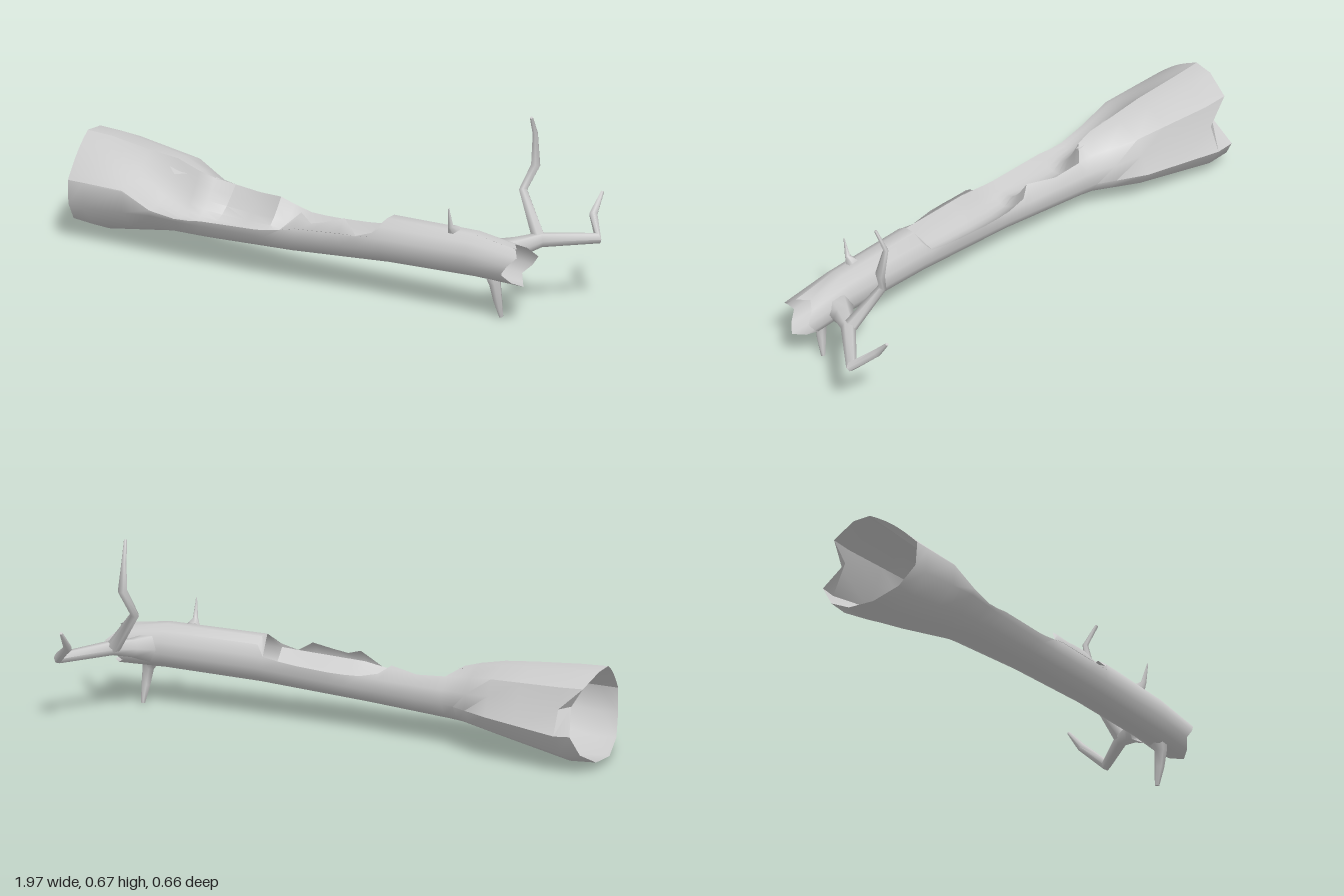
import * as THREE from 'three';
import { toCreasedNormals, mergeVertices } from 'three/addons/utils/BufferGeometryUtils.js';

const { lerp, clamp, smoothstep } = THREE.MathUtils;
const material = new THREE.MeshStandardMaterial({ color: 0xcccccc, side: THREE.DoubleSide });
const DEG = Math.PI / 180;

// Trunk profile: x, centre y, centre z, radius y, radius z
const TRUNK = [
  [-0.975, 0.193, 0.125, 0.169, 0.207], [-0.87, 0.188, 0.125, 0.170, 0.207],
  [-0.58, 0.200, 0.146, 0.130, 0.180], [-0.41, 0.188, 0.184, 0.102, 0.128],
  [-0.04, 0.191, 0.187, 0.084, 0.099], [0.36, 0.218, 0.164, 0.084, 0.083],
  [0.72, 0.226, 0.145, 0.081, 0.077], [0.89, 0.213, 0.137, 0.070, 0.075],
];

// Rims of the opening: x, front and back angle (0 front, 90 bottom, 180 back, 270 top)
const RIMS = [
  [-0.975, -12, 278], [-0.87, -14, 277], [-0.70, -14, 276], [-0.58, 8, 272], [-0.48, 13, 268],
  [-0.42, 10, 258], [-0.37, 6, 226], [-0.26, 4, 222], [-0.15, 2, 236], [-0.11, 0, 212],
  [-0.04, -8, 200], [0.02, -58, 196], [0.08, -32, 194], [0.13, -38, 194], [0.20, -56, 194],
  [0.27, -14, 196], [0.33, -25, 200], [0.36, -72, 288], [0.72, -72, 288], [0.89, -72, 288],
];

// Point of the trunk's surface at x and an angle in degrees
function onTrunk(x, deg) {
  const i = Math.max(1, TRUNK.findIndex(k => k[0] >= x));
  const a = TRUNK[i - 1], b = TRUNK[i];
  const [cy, cz, ry, rz] = [1, 2, 3, 4].map(c => lerp(a[c], b[c], (x - a[0]) / (b[0] - a[0])));
  const s = Math.sin(deg * DEG), c = Math.cos(deg * DEG);
  // The wide part is flattened at the back, its end is hollowed at both sides and split at the back
  const flat = Math.max(0, 1 - Math.abs(deg - 198) / 30) * smoothstep(-x, 0.45, 0.65);
  const end = x < -0.95 ? 1 : 0;
  return [x + end * (0.045 * c * c + 0.03 * flat), cy - ry * s, cz + rz * c + flat * (0.035 + 0.035 * end)];
}

// Surface through rows of points, all of the same length
function loft(rows, name, crease = 0.7) {
  const n = rows[0].length, index = [];
  for (let i = 0; i < rows.length - 1; i++)
    for (let j = 0; j < n - 1; j++) {
      const a = i * n + j, b = a + n;
      index.push(a, b, a + 1, b, b + 1, a + 1);
    }
  const g = new THREE.BufferGeometry();
  g.setAttribute('position', new THREE.Float32BufferAttribute(rows.flat(2), 3));
  g.setIndex(index);
  const mesh = new THREE.Mesh(toCreasedNormals(mergeVertices(g, 1e-5), crease), material);
  mesh.name = name;
  return mesh;
}

const steps = n => Array.from({ length: n + 1 }, (_, j) => j / n);

function trunkShell() {
  return loft(RIMS.map(([x, front, back], i) => steps(12).map(f => {
    const p = onTrunk(x, clamp(lerp(-72, 288, f), front, back));
    // Narrow end: torn teeth
    if (i === RIMS.length - 1) p[0] += 0.01 + 0.03 * Math.sin(f * 19);
    return p;
  })), 'trunkShell');
}

// Sloping face at the wide end that sinks into a trough along the middle
function trough() {
  return loft(RIMS.filter(r => r[0] < 0.35).map(([x, front, back]) => {
    const a = onTrunk(x, Math.max(front, -15)), b = onTrunk(x, back);
    const sag = 0.08 * smoothstep(x, -0.92, -0.38) - 0.015;
    return steps(8).map(f => [lerp(a[0], b[0], f),
      lerp(a[1], b[1], f) - sag * Math.sin(Math.PI * f), lerp(a[2], b[2], f)]);
  }), 'rottenTrough');
}

// Ragged lip of bark over the sloping face
function barkLip() {
  return loft(steps(6).map((f, i) => {
    const x = lerp(-0.74, -0.41, f), y = lerp(0.337, 0.283, f);
    const reach = Math.sin(Math.PI * f) * (i % 2 ? 0.05 : 0.02);
    return [[x, y, 0.135], [x + 0.01, y - reach * 0.5, 0.145 + reach]];
  }), 'barkLip');
}

// Tapered limb through points [x, y, z, radius]
function limb(name, points, sides = 6) {
  const p = points.map(q => new THREE.Vector3(q[0], q[1], q[2]));
  const last = p.length - 1;
  const rows = p.map((c, i) => {
    const dir = p[Math.min(i + 1, last)].clone().sub(p[Math.max(i - 1, 0)]).normalize();
    const u = Math.abs(dir.x) > 0.8 ? new THREE.Vector3(0, 1, 0) : new THREE.Vector3(1, 0, 0);
    u.addScaledVector(dir, -u.dot(dir)).normalize();
    const v = dir.clone().cross(u);
    return steps(sides).map(f => c.clone()
      .addScaledVector(u, points[i][3] * Math.cos(f * 2 * Math.PI))
      .addScaledVector(v, points[i][3] * Math.sin(f * 2 * Math.PI)).toArray());
  });
  rows.push(rows[0].map(() => p[last].toArray()));
  return loft(rows, name, 1.3);
}

export function createModel() {
  const group = new THREE.Group();
  group.name = 'hollowLog';
  group.add(
    trunkShell(), trough(), barkLip(),
    limb('backBranch', [[0.775, 0.222, 0.078, 0.052], [0.805, 0.235, 0.02, 0.036], [0.85, 0.25, -0.055, 0.027],
      [0.98, 0.24, -0.215, 0.02], [0.915, 0.30, -0.275, 0.016], [0.915, 0.37, -0.33, 0.006]]),
    limb('uprightBranch', [[0.84, 0.255, -0.055, 0.026], [0.735, 0.40, -0.105, 0.016],
      [0.77, 0.49, -0.132, 0.018], [0.757, 0.60, -0.147, 0.010], [0.77, 0.67, -0.107, 0.006]]),
    limb('lowerStub', [[0.79, 0.16, 0.142, 0.032], [0.80, 0.13, 0.146, 0.022],
      [0.805, 0.07, 0.137, 0.017], [0.81, 0.005, 0.123, 0.008]]),
    limb('topThorn', [[0.635, 0.297, 0.165, 0.026], [0.637, 0.32, 0.188, 0.01], [0.64, 0.39, 0.203, 0.002]]),
  );
  return group;
}
